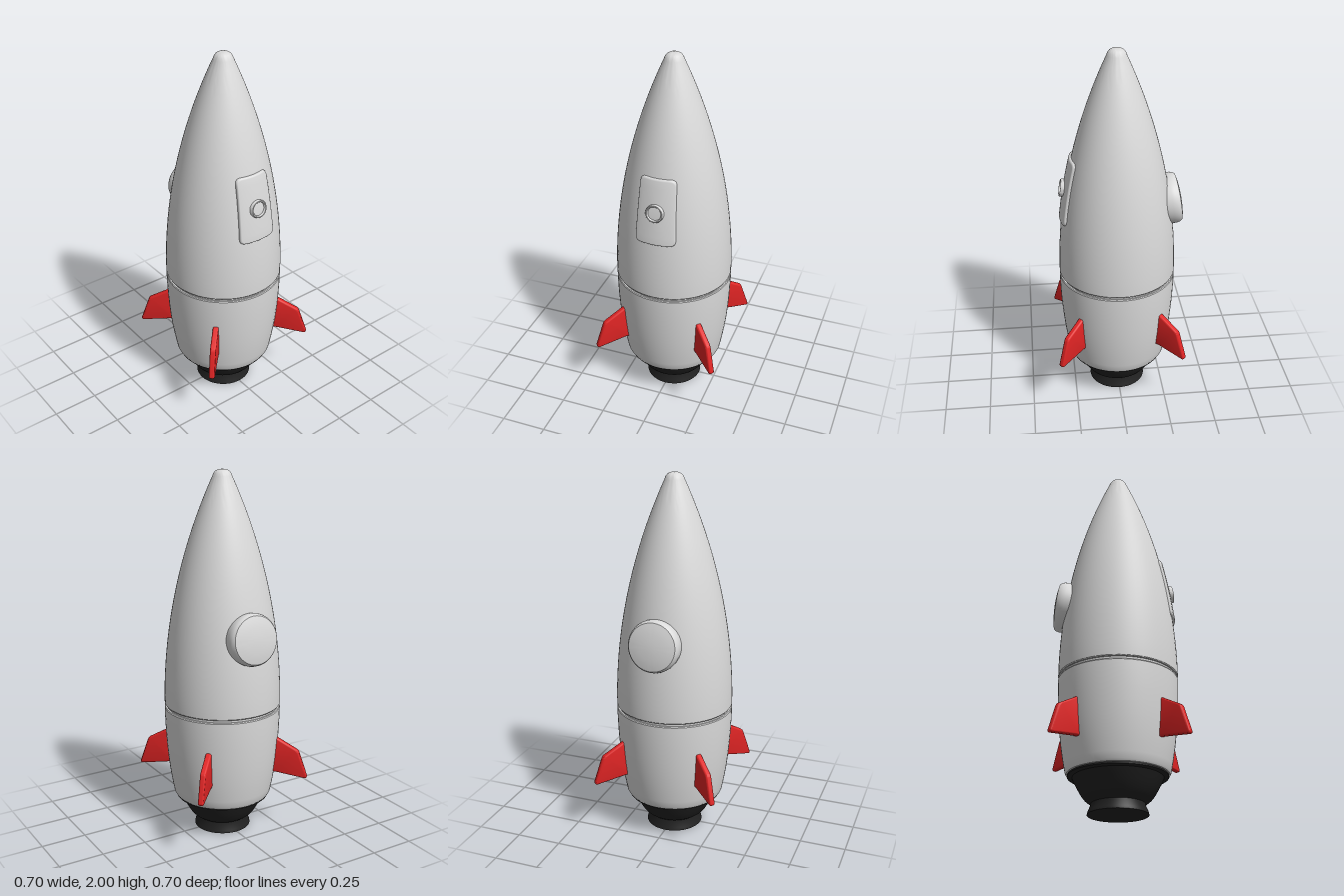
import * as THREE from 'three';
import { toCreasedNormals } from 'three/addons/utils/BufferGeometryUtils.js';

const paint = (name, color) => {
  const m = new THREE.MeshStandardMaterial({ color });
  m.name = name;
  return m;
};

const ARC = 2.98, BELT = 0.73, WIDE = 0.32, HATCH_Y = 1.243, DOME_Y = 1.155;

// Radius of the ogive hull at a height above the belt groove
const hullRadius = (y) => WIDE - ARC + Math.sqrt(ARC * ARC - (y - BELT) ** 2);
const hullTilt = (y) => Math.asin((y - BELT) / ARC);

function lathe(points, segments = 64, crease = 0.6) {
  const g = new THREE.LatheGeometry(points.map(([r, y]) => new THREE.Vector2(r, y)), segments);
  return toCreasedNormals(g, crease);
}

// Trapezoid plate with rounded corners, wrapped around the hull
function hatchGeometry() {
  const s = new THREE.Shape();
  const b = 0.111, t = 0.095, y0 = 1.065, y1 = 1.42, c = 0.028;
  s.moveTo(-b + c, y0);
  s.lineTo(b - c, y0);
  s.quadraticCurveTo(b, y0, b - 0.002, y0 + c);
  s.lineTo(t + 0.002, y1 - c);
  s.quadraticCurveTo(t, y1, t - c, y1);
  s.lineTo(-t + c, y1);
  s.quadraticCurveTo(-t, y1, -t - 0.002, y1 - c);
  s.lineTo(-b + 0.002, y0 + c);
  s.quadraticCurveTo(-b, y0, -b + c, y0);
  const n = 96;
  const outline = s.getSpacedPoints(n).slice(0, n);
  // [scale of outline, height above hull]
  const rings = [[1, -0.01], [1, 0.006], [0.985, 0.011], [0.95, 0.013],
    [0.75, 0.013], [0.5, 0.013], [0.25, 0.013], [0.01, 0.013]];
  const pos = [], index = [];
  rings.forEach(([k, lift], j) => outline.forEach((p, i) => {
    const x = p.x * k, y = HATCH_Y + (p.y - HATCH_Y) * k;
    pos.push(x, y, Math.sqrt((hullRadius(y) + lift) ** 2 - x * x));
    if (j === 0) return;
    const a = (j - 1) * n + i, a2 = (j - 1) * n + (i + 1) % n;
    index.push(a, a2, a2 + n, a, a2 + n, a + n);
  }));
  const g = new THREE.BufferGeometry();
  g.setAttribute('position', new THREE.Float32BufferAttribute(pos, 3));
  g.setIndex(index);
  g.computeVertexNormals();
  return g;
}

function finGeometry() {
  const s = new THREE.Shape();
  s.moveTo(0.25, 0.345);
  s.lineTo(0.31, 0.343);
  s.lineTo(0.47, 0.32);
  s.quadraticCurveTo(0.487, 0.318, 0.483, 0.336);
  s.lineTo(0.438, 0.468);
  s.quadraticCurveTo(0.434, 0.48, 0.422, 0.486);
  s.lineTo(0.31, 0.548);
  s.lineTo(0.25, 0.575);
  const g = new THREE.ExtrudeGeometry(s, {
    depth: 0.012, bevelThickness: 0.01, bevelSize: 0.01, bevelOffset: -0.01,
    bevelSegments: 3, curveSegments: 5,
  });
  g.translate(0, 0, -0.006);
  return toCreasedNormals(g, 0.7);
}

export function createModel() {
  const group = new THREE.Group();
  const white = paint('hull light grey', 0xdadada);
  const red = paint('fin red', 0xe02424);
  const black = paint('engine black', 0x222222);

  const add = (name, geometry, material) => {
    const mesh = new THREE.Mesh(geometry, material);
    mesh.name = name;
    group.add(mesh);
    return mesh;
  };

  // Upper hull: ogive with a blunt rounded tip
  const upper = [[0.308, 0.728], [0.308, 0.734], [0.316, 0.734], [0.3195, 0.739]];
  for (let i = 1; i <= 30; i++) {
    const y = 0.739 + (1.965 - 0.739) * i / 30;
    upper.push([hullRadius(y), y]);
  }
  upper.push([0.047, 1.978], [0.038, 1.99], [0.026, 1.997], [0.012, 2], [0, 2]);
  add('upperHull', lathe(upper), white);

  // Lower hull with the belt groove above it
  add('lowerHull', lathe([[0, 0.2], [0.255, 0.2], [0.266, 0.204], [0.272, 0.215], [0.279, 0.25],
    [0.288, 0.3], [0.297, 0.36], [0.305, 0.43], [0.311, 0.5], [0.316, 0.58], [0.319, 0.66],
    [0.3195, 0.715], [0.316, 0.72], [0.308, 0.72], [0.308, 0.73]]), white);

  // Engine: flange, bowl, neck and flared mouth
  add('engineFlange', lathe([[0, 0.188], [0.25, 0.188], [0.26, 0.193], [0.26, 0.204], [0, 0.204]]), black);
  add('engineNozzle', lathe([[0, 0], [0.157, 0], [0.154, 0.014], [0.138, 0.05], [0.138, 0.056],
    [0.155, 0.066], [0.172, 0.08], [0.188, 0.1], [0.208, 0.135], [0.224, 0.165], [0.236, 0.19]]), black);

  // Front hatch and its porthole
  add('hatch', hatchGeometry(), white);
  const porthole = add('porthole', lathe([[0.048, -0.01], [0.048, 0.025], [0.045, 0.03],
    [0.04, 0.03], [0.037, 0.026], [0.036, 0.019], [0, 0.021]], 40), white);
  porthole.position.set(0, HATCH_Y, hullRadius(HATCH_Y));
  porthole.rotation.x = Math.PI / 2 - hullTilt(HATCH_Y);

  // Rounded pod on the back
  const pod = add('backPod', lathe([[0.128, -0.07], [0.135, -0.03], [0.139, 0], [0.139, 0.018],
    [0.135, 0.034], [0.127, 0.045], [0.1, 0.051], [0.07, 0.055], [0.035, 0.058], [0, 0.059]]), white);
  pod.position.set(0, DOME_Y, -hullRadius(DOME_Y));
  pod.rotation.x = hullTilt(DOME_Y) - Math.PI / 2;

  // Four diagonal fins
  const fin = finGeometry();
  for (let i = 0; i < 4; i++) {
    add('fin' + (i + 1), fin, red).rotation.y = Math.PI / 4 + i * Math.PI / 2;
  }
  return group;
}
